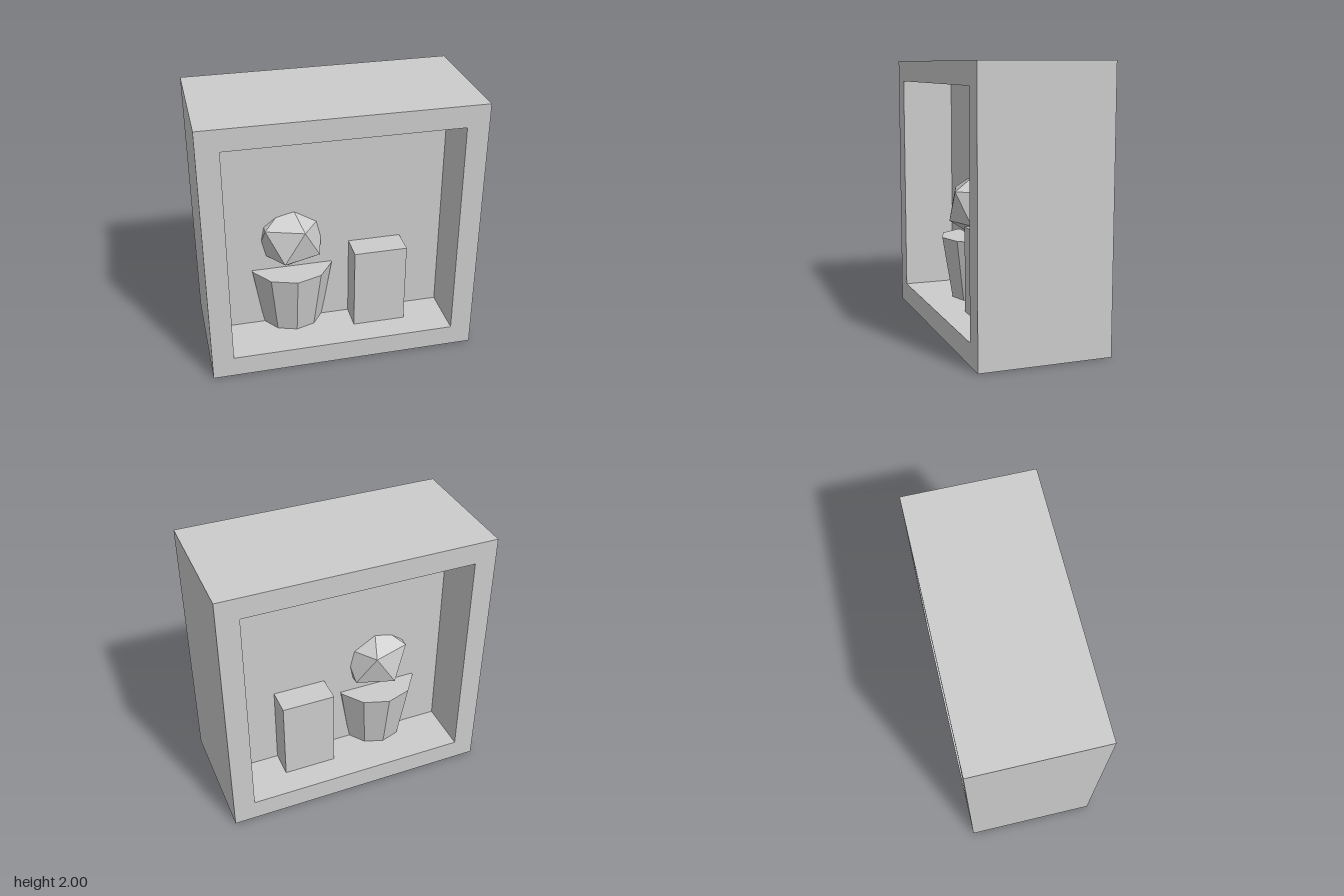
import * as THREE from 'three';

const gray = new THREE.MeshStandardMaterial({ color: 0xcccccc, flatShading: true });
gray.name = 'light gray';

export function createModel() {
  const model = new THREE.Group();
  model.name = 'displayBox';

  function add(name, geometry, x, y, z = 0) {
    const mesh = new THREE.Mesh(geometry, gray);
    mesh.name = name;
    mesh.position.set(x, y, z);
    model.add(mesh);
    return mesh;
  }

  function square(Type, half) {
    return new Type([[-1, -1], [1, -1], [1, 1], [-1, 1]]
      .map(([x, y]) => new THREE.Vector2(x * half, y * half)));
  }

  // Square frame, open at the front and back
  const outline = square(THREE.Shape, 1);
  outline.holes.push(square(THREE.Path, 0.84));
  add('frame', new THREE.ExtrudeGeometry(outline, { depth: 0.96, bevelEnabled: false }), 0, 1, -0.48);

  // Thick panel dividing the frame into front and back niches
  add('dividerPanel', new THREE.BoxGeometry(1.68, 1.68, 0.16), 0, 1);

  // Objects pass through the panel and show on both sides
  add('block', new THREE.BoxGeometry(0.4, 0.64, 0.56), 0.32, 0.48);
  add('pot', new THREE.CylinderGeometry(0.32, 0.24, 0.48, 10), -0.32, 0.4);

  // Faceted ball, turned so that one vertex points straight up
  const ball = new THREE.IcosahedronGeometry(0.28, 0);
  ball.rotateZ(-Math.atan(2 / (1 + Math.sqrt(5))));
  add('plantBall', ball, -0.32, 0.88);

  return model;
}
